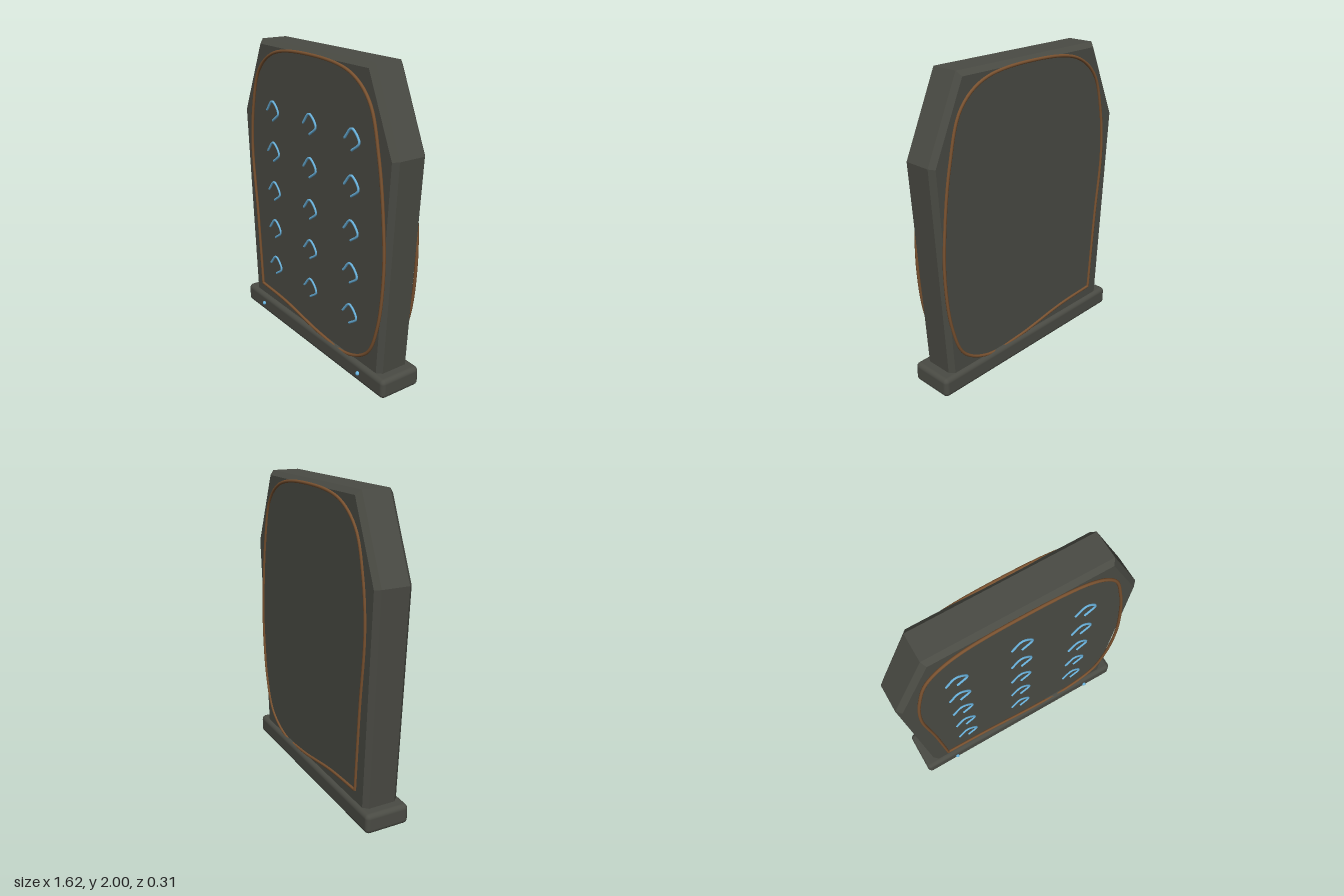
import * as THREE from 'three';
import { RoundedBoxGeometry } from 'three/addons/geometries/RoundedBoxGeometry.js';

const mat = (name, color, extra = {}) => {
  const m = new THREE.MeshStandardMaterial({ color, ...extra });
  m.name = name;
  return m;
};

export function createModel() {
  const stone = mat('dark stone', 0x4a4b44);
  const bronze = mat('bronze', 0x7a5230);
  const blue = mat('glowing blue', 0x6bb5e0);

  const model = new THREE.Group();
  model.name = 'stoneTablet';
  const add = (name, geometry, material, parent = model) => {
    const mesh = new THREE.Mesh(geometry, material);
    mesh.name = name;
    parent.add(mesh);
    return mesh;
  };

  // Slab: six-sided outline with chamfered front and back edges
  const outline = new THREE.Shape(
    [[-0.725, 0.09], [0.725, 0.09], [0.81, 1.5], [0.585, 2], [-0.585, 2], [-0.81, 1.5]]
      .map(([x, y]) => new THREE.Vector2(x, y)));
  const slab = new THREE.ExtrudeGeometry(outline, {
    depth: 0.18, bevelThickness: 0.03, bevelSize: 0.03, bevelOffset: -0.03, bevelSegments: 1,
  });
  slab.translate(0, 0, -0.1);
  add('slab', slab, stone);

  // Base with rounded edges
  add('base', new RoundedBoxGeometry(1.6, 0.13, 0.296, 3, 0.03), stone).position.set(0, 0.065, -0.008);

  // Wire border on both faces, with one sharp corner at the lower right
  const border = [
    [-0.614, 0.207], [-0.656, 0.76], [-0.7, 1.24], [-0.667, 1.554], [-0.587, 1.79], [-0.41, 1.925],
    [0, 1.973], [0.42, 1.925], [0.59, 1.79], [0.68, 1.5], [0.735, 1.13], [0.75, 0.81],
    [0.71, 0.46], [0.62, 0.24], [0.42, 0.13], [0.127, 0.13], [-0.307, 0.19], [-0.614, 0.207],
  ];
  const borderCurve = new THREE.CatmullRomCurve3(border.map(([x, y]) => new THREE.Vector3(x, y, 0)));
  const borderTube = new THREE.TubeGeometry(borderCurve, 160, 0.01, 8);
  add('frontBorder', borderTube, bronze).position.z = 0.118;
  add('backBorder', borderTube, bronze).position.z = -0.132;

  // Hooked marks in five rows of three
  const hookCurve = new THREE.CatmullRomCurve3(
    [[-0.07, 0], [0, 0.07], [0.07, 0], [0, -0.06]].map(([x, y]) => new THREE.Vector3(x, y, 0)));
  const hookTube = new THREE.TubeGeometry(hookCurve, 20, 0.008, 6);
  const marks = new THREE.Group();
  marks.name = 'marks';
  model.add(marks);
  for (let row = 0; row < 5; row++) {
    for (const x of [-0.43, 0, 0.43]) {
      add('mark', hookTube, blue, marks).position.set(x, 0.417 + row * 0.281, 0.113);
    }
  }

  // Small studs on the front of the base
  for (const x of [-0.562, 0.562]) {
    add('stud', new THREE.SphereGeometry(0.014, 10, 8), blue).position.set(x, 0.068, 0.145);
  }
  return model;
}
